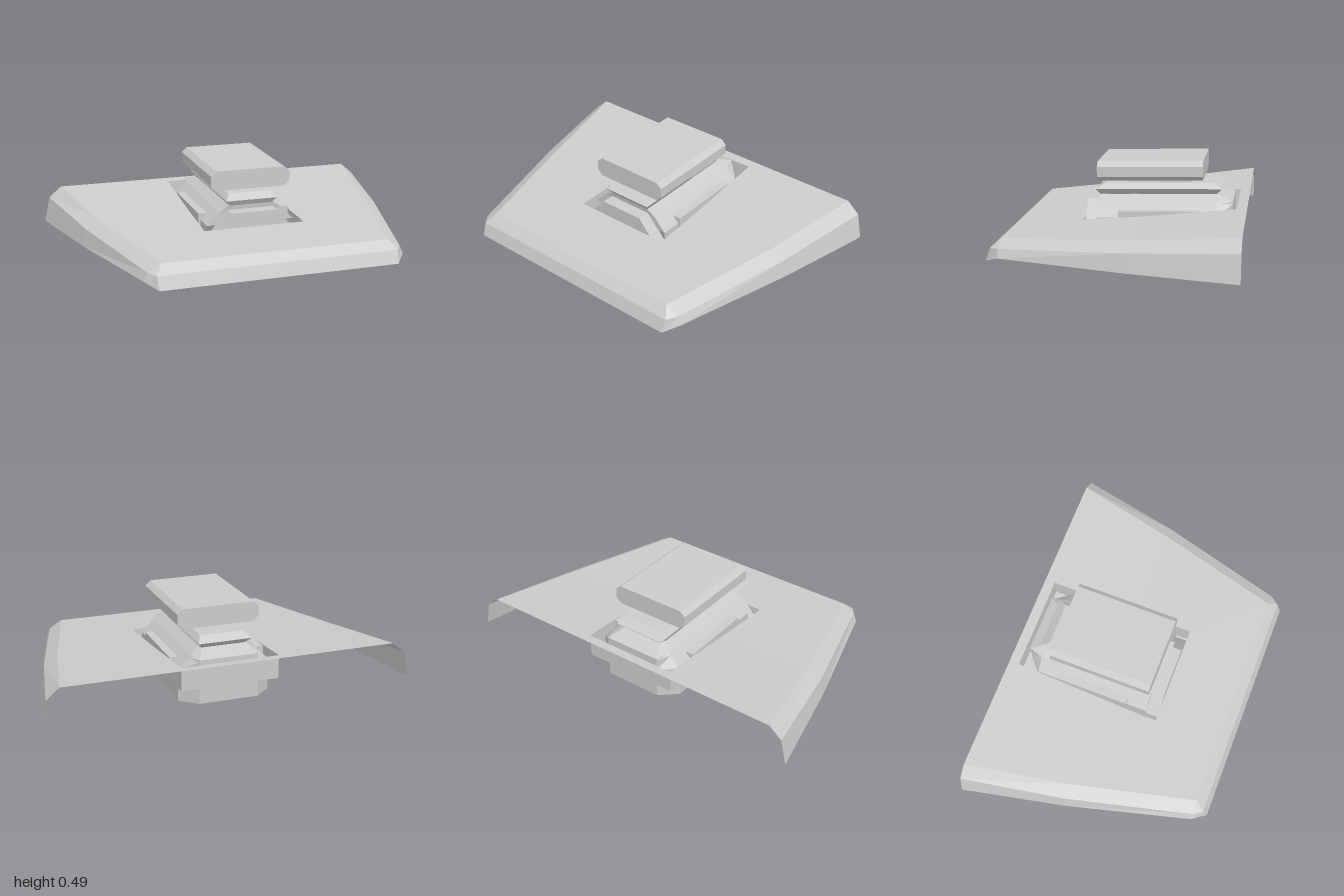
import * as THREE from 'three';

const TILT = 0.028; // the engine parts rise gently towards the back
const material = new THREE.MeshStandardMaterial({
  color: 0xcccccc, flatShading: true, side: THREE.DoubleSide,
});

// Skin rows of [x, y, z] points; closed joins the ends of each row.
function loft(rows, closed = false) {
  const pos = [];
  const v = (p) => new THREE.Vector3(...p);
  const tri = (a, b, c) => {
    if (new THREE.Triangle(v(a), v(b), v(c)).getArea() > 1e-7) pos.push(...a, ...b, ...c);
  };
  for (let i = 0; i < rows.length - 1; i++) {
    const n = rows[i].length;
    for (let j = 0; j < (closed ? n : n - 1); j++) {
      const k = (j + 1) % n;
      const [a, b, c, d] = [rows[i][j], rows[i][k], rows[i + 1][j], rows[i + 1][k]];
      tri(a, b, d);
      tri(a, d, c);
    }
  }
  const g = new THREE.BufferGeometry();
  g.setAttribute('position', new THREE.Float32BufferAttribute(pos, 3));
  g.computeVertexNormals();
  return g;
}

// Move every vertex up or down by a rule of its z.
function liftByZ(g, rule) {
  const p = g.attributes.position;
  for (let i = 0; i < p.count; i++) p.setY(i, p.getY(i) + rule(p.getZ(i)));
  g.computeVertexNormals();
  return g;
}
const tilt = (z) => TILT * (0.15 - z);

// Plan outline with chamfered rear corners, counter-clockwise from above.
const plan = ({ y, w, rear = w, front, side, back }) =>
  [[w, front], [w, side], [rear, back], [-rear, back], [-w, side], [-w, front]]
    .map(([x, z]) => [x, y + tilt(z), z]);

const collapse = (row, z) => row.map(() => [0, row[0][1] + tilt(z) - tilt(row[0][2]), z]);

// Straight prism of an x-y outline, running from back to front.
function prism(points, back, front) {
  const shape = new THREE.Shape(points.map(([x, y]) => new THREE.Vector2(x, y)));
  const g = new THREE.ExtrudeGeometry(shape, { depth: front - back, bevelEnabled: false });
  return liftByZ(g.translate(0, 0, back), tilt);
}
const mirrored = (half) => [...half, ...half.map(([x, y]) => [-x, y]).reverse()];

// Height of the bonnet's top skin.
const hoodY = (z) => (z < -0.1
  ? THREE.MathUtils.mapLinear(z, -0.66, -0.1, 0.25, 0.19)
  : THREE.MathUtils.mapLinear(z, -0.1, 0.58, 0.19, 0.137));

function flat(points, rule, hole) {
  const toShape = (pts) => pts.map(([x, z]) => new THREE.Vector2(x, -z));
  const shape = new THREE.Shape(toShape(points));
  if (hole) shape.holes.push(new THREE.Path(toShape(hole)));
  return liftByZ(new THREE.ShapeGeometry(shape).rotateX(-Math.PI / 2), rule);
}

export function createModel() {
  const model = new THREE.Group();
  const add = (name, geometry, parent = model) => {
    const mesh = new THREE.Mesh(geometry, material);
    mesh.name = name;
    parent.add(mesh);
    return mesh;
  };

  // Top skin: two U-shaped halves around the engine opening
  const hood = new THREE.Group();
  hood.name = 'hood';
  model.add(hood);
  const both = (half) => mirrored(half);
  add('hoodRearSkin', flat(both([[0.276, -0.1], [0.79, -0.1], [0.9, -0.66]])
    .slice(0, 6).concat([[-0.265, -0.605], [0.265, -0.605]]), hoodY), hood);
  add('hoodFrontSkin', flat(both([[0.285, 0.215], [0.276, -0.1], [0.79, -0.1], [0.62, 0.58]]), hoodY), hood);

  // Rounded-down edge along both sides and the front
  const rim = [
    [[0.9, 0.25, -0.66], [0.79, 0.19, -0.1], [0.62, 0.137, 0.58], [0.62, 0.137, 0.58]],
    [[0.97, 0.19, -0.66], [0.865, 0.145, -0.1], [0.69, 0.095, 0.58], [0.655, 0.09, 0.63]],
    [[1, 0.05, -0.66], [0.885, 0.05, -0.1], [0.71, 0.05, 0.58], [0.65, 0.02, 0.655]],
  ].map((half) => [...half, ...half.map(([x, y, z]) => [-x, y, z]).reverse()]);
  add('hoodEdge', loft(rim), hood);

  // Sunken tray walls and floor
  const opening = [[0.285, 0.215], [0.276, -0.1], [0.265, -0.605],
    [-0.265, -0.605], [-0.276, -0.1], [-0.285, 0.215]];
  const trayRow = (drop) => opening.map(([x, z]) => [x, hoodY(z) - drop, z]);
  add('trayWalls', loft([trayRow(0), trayRow(0.128)], true));
  const hull = { w: 0.25, rear: 0.16, front: 0.145, side: -0.5, back: -0.58 };
  const hullOutline = plan({ y: 0, ...hull }).map(([x, , z]) => [x, z]);
  add('trayFloor', flat(opening, (z) => hoodY(z) - 0.128, hullOutline));

  // Engine block: open below, stepping in towards the top
  const block = [
    plan({ y: 0, ...hull }),
    plan({ y: 0.17, ...hull }),
    plan({ ...hull, y: 0.23, w: 0.19 }),
    plan({ ...hull, y: 0.24, w: 0.18 }),
    plan({ y: 0.275, w: 0.13, rear: 0.12, front: 0.15, side: -0.45, back: -0.49 }),
  ];
  // the front of the skirt is open between its two side panels
  add('engineBlock', loft(block.slice(1), true));
  add('engineSkirt', loft(block.slice(0, 2)));

  // Front cover of the block
  add('frontCover', prism(mirrored([[0.245, 0.04], [0.245, 0.115], [0.2, 0.17], [0.13, 0.25]]), 0.14, 0.215));

  // Exhaust ports along the sides of the block
  for (const s of [-1, 1]) {
    const port = new THREE.BoxGeometry(0.045, 0.11, 0.43).translate(s * 0.24, 0.152, -0.185);
    add(s > 0 ? 'leftPort' : 'rightPort', liftByZ(port, tilt));
  }

  // Flared compressor housing
  const flare = [[0.275, 0.12, 0.15, -0.49], [0.305, 0.145, 0.17, -0.52], [0.335, 0.12, 0.125, -0.47]]
    .map(([y, w, front, back]) => plan({ y, w, front, side: back, back }));
  add('compressor', loft([collapse(flare[0], -0.17), ...flare, collapse(flare[2], -0.17)], true));

  // Neck and intake scoop
  add('scoopNeck', prism(mirrored([[0.09, 0.32], [0.09, 0.37]]), -0.35, 0));
  add('intakeScoop', prism(mirrored([[0.195, 0.362], [0.225, 0.388], [0.225, 0.443], [0.195, 0.47]]), -0.42, 0.15));

  return model;
}
